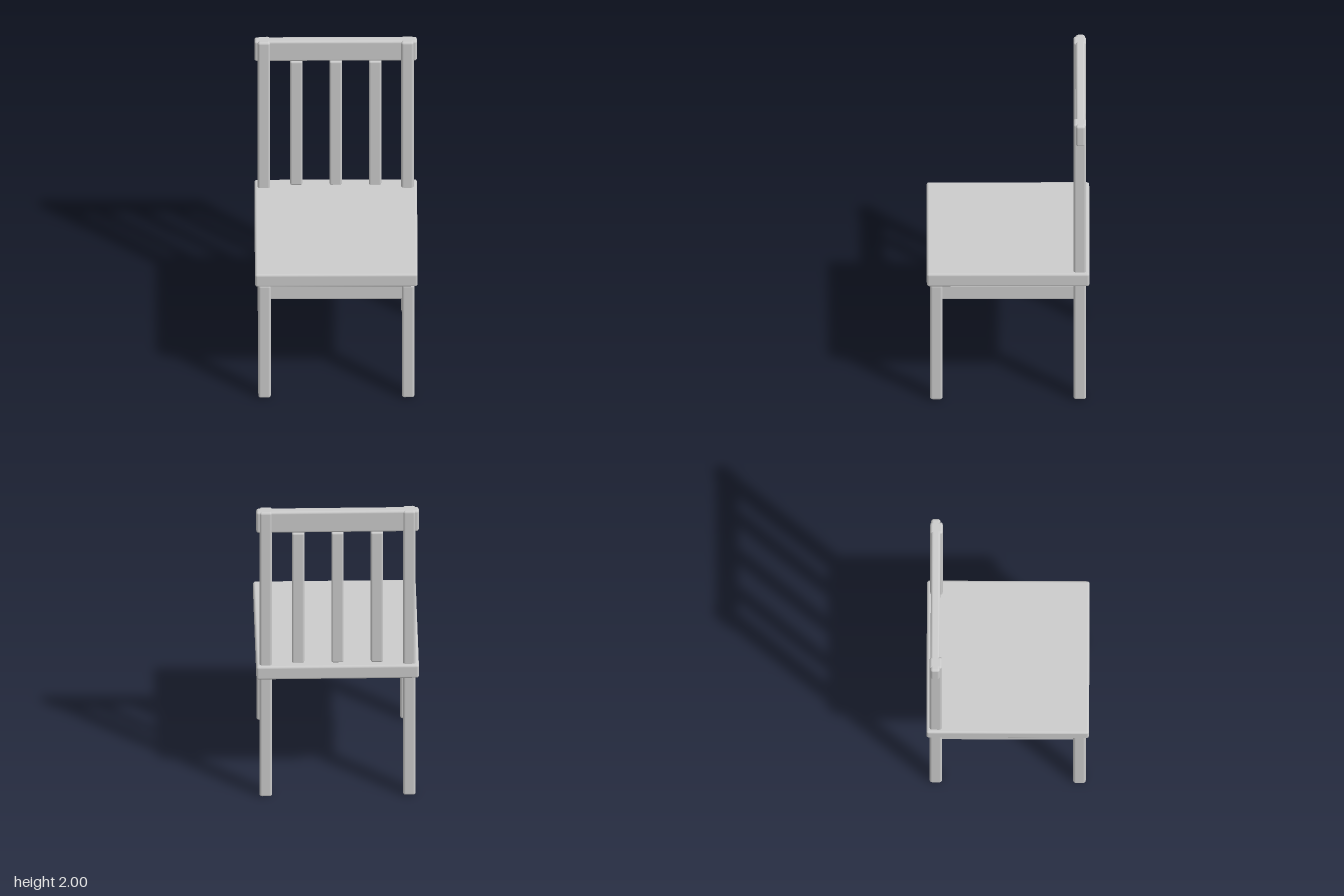
import * as THREE from 'three';
import { RoundedBoxGeometry } from 'three/addons/geometries/RoundedBoxGeometry.js';

const material = new THREE.MeshStandardMaterial({ color: 0xcccccc });

// Rounded wooden bar given by its lower and upper limits on each axis.
function bar(name, [x0, x1], [y0, y1], [z0, z1], radius = 0.015) {
  const geometry = new RoundedBoxGeometry(x1 - x0, y1 - y0, z1 - z0, 3, radius);
  const mesh = new THREE.Mesh(geometry, material);
  mesh.position.set((x0 + x1) / 2, (y0 + y1) / 2, (z0 + z1) / 2);
  mesh.name = name;
  return mesh;
}

const around = (centre, size) => [centre - size / 2, centre + size / 2];

export function createModel() {
  const chair = new THREE.Group();
  chair.name = 'chair';

  const legCentre = 0.428;
  const legSize = 0.075;
  const apronY = [0.72, 0.827];
  const apronSize = 0.05;
  const apronSpan = [-0.41, 0.41];

  chair.add(bar('seat', [-0.485, 0.485], [0.835, 0.928], [-0.485, 0.485]));

  // Front legs, full-height back posts and side aprons, mirrored
  for (const [side, s] of [['left', 1], ['right', -1]]) {
    const x = around(s * legCentre, legSize);
    chair.add(
      bar(side + 'FrontLeg', x, [0, 0.832], around(legCentre, legSize)),
      bar(side + 'BackPost', x, [0, 2], around(-legCentre, legSize)),
      bar(side + 'Apron', around(s * legCentre, apronSize), apronY, apronSpan, 0.012),
    );
  }

  // The back has no apron
  chair.add(bar('frontApron', apronSpan, apronY, around(legCentre, apronSize), 0.012));

  // Backrest: top rail and three slats
  chair.add(bar('topRail', [-0.485, 0.485], [1.852, 2], around(-0.432, 0.056)));
  [-0.235, 0, 0.235].forEach((x, i) => {
    chair.add(bar('backSlat' + (i + 1), around(x, 0.074), [0.932, 1.847], around(-0.432, 0.045), 0.012));
  });

  return chair;
}
